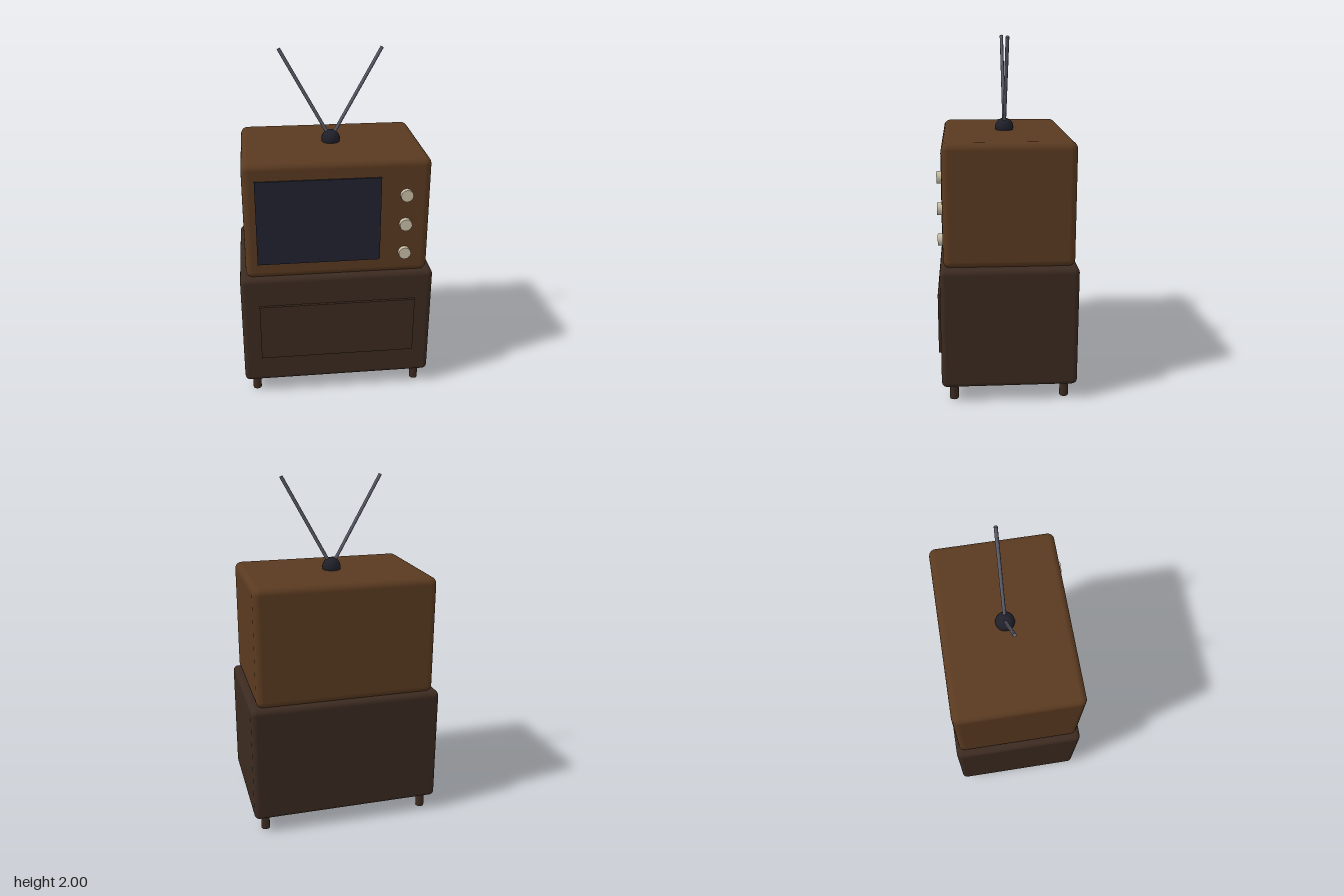
import * as THREE from 'three';
import { RoundedBoxGeometry } from 'three/addons/geometries/RoundedBoxGeometry.js';

const material = (name, color) => Object.assign(new THREE.MeshStandardMaterial({ color }), { name });

export function createModel() {
  const model = new THREE.Group();
  model.name = 'televisionOnCabinet';

  const darkWood = material('dark wood', 0x3b2a20);
  const warmWood = material('warm wood', 0x5a3a20);
  const glass = material('dark glass', 0x212230);
  const cream = material('cream', 0xccc2a8);
  const black = material('blue black', 0x1f2029);
  const metal = material('grey metal', 0x5c5e6c);

  const midZ = -0.007;
  const add = (name, geometry, mat, x, y, z) => {
    const mesh = new THREE.Mesh(geometry, mat);
    mesh.name = name;
    mesh.position.set(x, y, z);
    model.add(mesh);
    return mesh;
  };

  // Cabinet with a raised front panel
  add('cabinet', new RoundedBoxGeometry(1.108, 0.69, 0.76, 3, 0.03), darkWood, 0, 0.435, midZ);
  add('cabinetPanel', new THREE.BoxGeometry(0.9, 0.345, 0.03), darkWood, 0, 0.433, 0.373);

  // Four short legs
  const legGeometry = new THREE.CylinderGeometry(0.025, 0.025, 0.1, 12);
  for (const x of [-0.485, 0.485])
    for (const z of [-0.312, 0.312]) add('leg', legGeometry, darkWood, x, 0.05, z + midZ);

  // Television case and screen
  add('televisionCase', new RoundedBoxGeometry(1.036, 0.685, 0.722, 3, 0.04), warmWood, 0, 1.117, midZ);
  add('screen', new THREE.BoxGeometry(0.69, 0.495, 0.0095), glass, -0.105, 1.115, 0.3585);

  // Control knobs
  const knobGeometry = new THREE.CylinderGeometry(0.035, 0.035, 0.03, 12).rotateX(Math.PI / 2);
  for (const y of [0.905, 1.08, 1.255]) add('knob', knobGeometry, cream, 0.38, y, 0.367);

  // Antenna ball with two splayed rods
  add('antennaBase', new THREE.SphereGeometry(0.054, 20, 14), black, 0, 1.474, midZ);
  const rodGeometry = new THREE.CylinderGeometry(0.01, 0.01, 0.592, 8).translate(0, 0.296, 0);
  for (const side of [-1, 1])
    add('antennaRod', rodGeometry, metal, 0, 1.475, midZ).rotation.z = -side * 0.505;

  return model;
}
